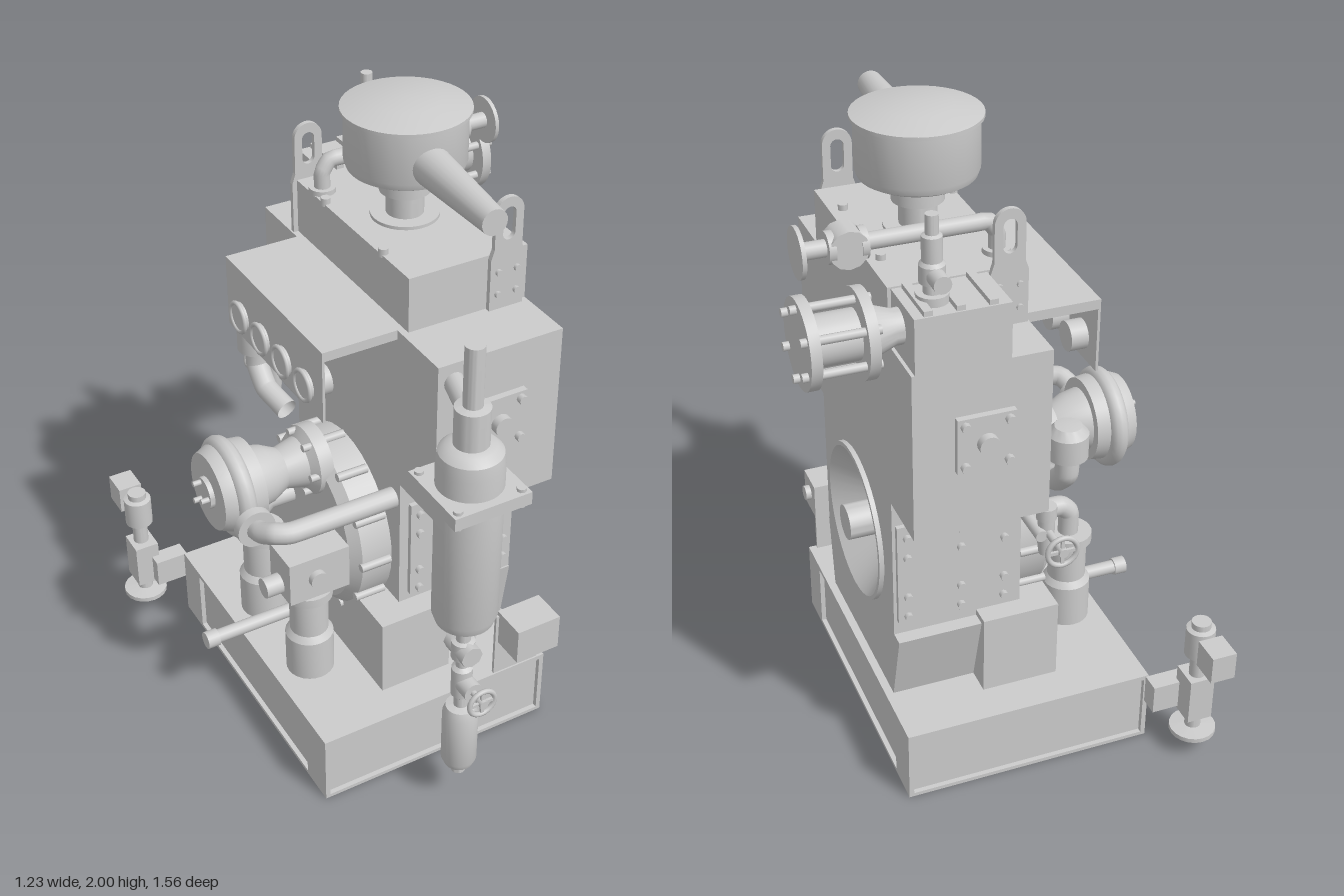
import * as THREE from 'three';
import { toCreasedNormals } from 'three/addons/utils/BufferGeometryUtils.js';

const mat = new THREE.MeshStandardMaterial({ color: 0xcccccc });
const thin = new THREE.MeshStandardMaterial({ color: 0xcccccc, side: THREE.DoubleSide });
const V = (x, y, z) => new THREE.Vector3(x, y, z);

export function createModel() {
  const root = new THREE.Group();
  root.name = 'stationaryEngine';

  const add = (name, geo, x = 0, y = 0, z = 0, m = mat) => {
    const mesh = new THREE.Mesh(geo, m);
    mesh.name = name;
    mesh.position.set(x, y, z);
    root.add(mesh);
    return mesh;
  };
  // Box from its limits
  const box = (name, x0, x1, y0, y1, z0, z1) =>
    add(name, new THREE.BoxGeometry(x1 - x0, y1 - y0, z1 - z0), (x0 + x1) / 2, (y0 + y1) / 2, (z0 + z1) / 2);
  const orient = (geo, axis) => {
    if (axis === 'x') geo.rotateZ(-Math.PI / 2);
    if (axis === '-x') geo.rotateZ(Math.PI / 2);
    if (axis === 'z') geo.rotateX(Math.PI / 2);
    return geo;
  };
  // Cylinder centred on a point, along an axis
  const cyl = (name, axis, x, y, z, r, len, r2 = r, n = 24) =>
    add(name, orient(new THREE.CylinderGeometry(r2, r, len, n), axis), x, y, z);
  // Turned part from [radius, distance along axis] points
  const turned = (name, axis, x, y, z, pts, n = 36) =>
    add(name, orient(toCreasedNormals(new THREE.LatheGeometry(pts.map(p => new THREE.Vector2(...p)), n), 0.6), axis), x, y, z);
  const pipe = (name, pts, r) =>
    add(name, new THREE.TubeGeometry(new THREE.CatmullRomCurve3(pts, false, 'catmullrom', 0.2), 40, r, 16), 0, 0, 0, thin);
  const ring = (name, axis, x, y, z, count, R, r, len, a0 = 0) => {
    for (let i = 0; i < count; i++) {
      const a = a0 + i / count * Math.PI * 2, c = Math.cos(a) * R, s = Math.sin(a) * R;
      if (axis === 'x') cyl(name, 'x', x, y + s, z + c, r, len, r, 8);
      else if (axis === 'z') cyl(name, 'z', x + c, y + s, z, r, len, r, 8);
      else cyl(name, 'y', x + c, y, z + s, r, len, r, 8);
    }
  };
  const handwheel = (x, y, z, r) => {
    add('handwheelRim', new THREE.TorusGeometry(r, 0.008, 8, 24), x, y, z);
    box('handwheelSpoke', x - r, x + r, y - 0.005, y + 0.005, z - 0.004, z + 0.004);
    box('handwheelSpoke', x - 0.005, x + 0.005, y - r, y + r, z - 0.004, z + 0.004);
    cyl('handwheelHub', 'z', x, y, z, 0.014, 0.025);
  };

  // Base frame with recessed sides
  box('baseCore', -0.415, 0.34, 0.008, 0.228, -0.525, 0.455);
  box('baseTop', -0.43, 0.355, 0.223, 0.238, -0.54, 0.47);
  box('baseBottom', -0.43, 0.355, 0, 0.012, -0.54, 0.47);
  for (const x of [-0.43, 0.34]) {
    box('basePost', x, x + 0.015, 0.012, 0.223, 0.35, 0.47);
    box('basePost', x, x + 0.015, 0.012, 0.223, -0.54, -0.42);
  }

  // Crankcase with a round recess for the flywheel
  const outline = () => new THREE.Shape([[-0.25, 0.235], [0.335, 0.235], [0.42, 0.48], [0.355, 0.48], [0.355, 0.96],
    [-0.285, 0.96], [-0.285, 0.48], [-0.29, 0.48]].map(([s, y]) => new THREE.Vector2(s === 0.42 ? 0.4 : s, y)));
  const slab = (name, x0, x1, shape) =>
    add(name, new THREE.ExtrudeGeometry(shape, { depth: x1 - x0, bevelEnabled: false, curveSegments: 32 }).rotateY(Math.PI / 2), x0, 0, 0);
  slab('crankcase', -0.07, 0.2, outline());
  const holed = outline();
  holed.holes.push(new THREE.Path().absarc(0.03, 0.68, 0.24, 0, Math.PI * 2, true));
  slab('flywheelHousing', 0.2, 0.33, holed);
  turned('flywheel', 'x', 0, 0.68, -0.03, [[0.248, 0.325], [0.248, 0.345], [0.235, 0.345], [0.13, 0.24], [0.055, 0.24],
    [0.055, 0.37], [0, 0.37]], 40);
  box('pedestal', -0.17, 0.07, 0.238, 0.5, -0.42, 0.36);

  // Crankcase doors with bolts
  for (const [z0, z1, zb] of [[0.285, 0.3, 0.305], [-0.37, -0.355, -0.375]]) {
    box('crankcaseDoor', -0.04, 0.32, 0.53, 0.87, z0, z1);
    for (const x of [-0.01, 0.125, 0.29])
      for (const y of [0.55, 0.62, 0.76, 0.83]) cyl('doorBolt', 'z', x, y, zb, 0.013, 0.022, 0.013, 8);
  }

  // Cylinder block and top tiers
  box('cylinderBlock', -0.07, 0.33, 0.95, 1.47, -0.545, 0.475);
  box('cylinderHead', -0.05, 0.33, 1.47, 1.64, -0.365, 0.285);
  box('exhaustBlock', 0.05, 0.32, 1.47, 1.635, -0.545, -0.365);
  for (const x of [0.1, 0.19, 0.28]) box('exhaustBlockRib', x - 0.012, x + 0.012, 1.63, 1.65, -0.54, -0.37);
  ring('headBolt', 'y', 0.125, 1.645, -0.035, 4, 0.235, 0.015, 0.025, Math.PI / 4);
  // Front and back inspection covers
  for (const s of [1, -1]) {
    const z = s > 0 ? 0.475 : -0.545;
    box('inspectionCover', 0.04, 0.21, 1.15, 1.32, z - 0.02, z + 0.02);
    cyl('coverBoss', 'z', 0.125, 1.235, z + s * 0.03, 0.03, 0.03);
    ring('coverBolt', 'z', 0.125, 1.235, z + s * 0.025, 4, 0.09, 0.014, 0.025, Math.PI / 4);
  }

  // Lifting lugs
  for (const [x, z] of [[0.255, 0.295], [-0.01, -0.37]]) {
    const s = new THREE.Shape();
    s.moveTo(-0.055, 1.47).lineTo(0.055, 1.47).lineTo(0.055, 1.63).lineTo(0.045, 1.66).lineTo(0.045, 1.77);
    s.absarc(0, 1.77, 0.045, 0, Math.PI, false);
    s.lineTo(-0.045, 1.66).lineTo(-0.055, 1.63);
    const h = new THREE.Path();
    h.absarc(0, 1.765, 0.02, 0, Math.PI, false);
    h.absarc(0, 1.705, 0.02, Math.PI, Math.PI * 2, false);
    s.holes.push(h);
    add('liftingLug', new THREE.ExtrudeGeometry(s, { depth: 0.015, bevelEnabled: false }), x, 0, z - 0.008);
    for (const y of [1.52, 1.59]) for (const d of [-0.03, 0.03]) cyl('lugBolt', 'z', x + d, y, z, 0.01, 0.035, 0.01, 8);
  }

  // Air cleaner and tapered intake
  turned('airCleaner', 'y', 0.125, 0, -0.035, [[0.1, 1.635], [0.1, 1.65], [0.055, 1.65], [0.055, 1.72], [0.075, 1.72],
    [0.075, 1.79], [0.15, 1.79], [0.168, 1.8], [0.175, 1.82], [0.175, 1.965], [0.185, 1.965], [0.185, 1.975], [0.1, 1.995], [0, 2]], 40);
  const intake = cyl('airIntake', 'z', 0.1, 1.865, 0.295, 0.058, 0.36, 0.038);
  intake.rotation.y = -0.06;

  // Exhaust outlet with bolted flanges
  turned('exhaustOutlet', 'x', 0, 1.56, -0.43, [[0.05, 0.3], [0.05, 0.34], [0.075, 0.41], [0.125, 0.41], [0.125, 0.44],
    [0.07, 0.44], [0.07, 0.565], [0.125, 0.565], [0.125, 0.595], [0, 0.595]]);
  ring('exhaustBolt', 'x', 0.505, 1.56, -0.43, 6, 0.1, 0.013, 0.215, Math.PI / 6);

  // Water outlet pipe with valve and end flange
  pipe('waterPipe', [V(-0.015, 1.63, -0.27), V(-0.015, 1.7, -0.27), V(0.01, 1.735, -0.27), V(0.05, 1.735, -0.27), V(0.54, 1.735, -0.27)], 0.024);
  cyl('waterPipeFlange', 'x', 0.54, 1.735, -0.27, 0.072, 0.012);
  cyl('waterValve', 'z', 0.41, 1.735, -0.27, 0.055, 0.08, 0.055, 12);
  for (const x of [0.365, 0.455]) cyl('waterValveCollar', 'x', x, 1.735, -0.27, 0.045, 0.02);
  cyl('pipeSeat', 'y', -0.015, 1.645, -0.27, 0.04, 0.02);

  // Safety valve
  turned('safetyValve', 'y', 0.24, 0, -0.46, [[0.045, 1.63], [0.045, 1.66], [0.025, 1.66], [0.025, 1.69], [0.036, 1.69],
    [0.036, 1.74], [0.028, 1.75], [0.028, 1.82], [0.018, 1.825], [0.018, 1.88], [0, 1.88]], 16);
  cyl('safetyValveOutlet', 'z', 0.24, 1.715, -0.505, 0.025, 0.07);

  // Instrument panel and gauges
  box('panelTop', -0.305, -0.07, 1.44, 1.47, -0.335, 0.26);
  box('panelFace', -0.305, -0.297, 1.24, 1.47, -0.335, 0.26);
  for (let i = 0; i < 4; i++) {
    const z = -0.24 + i * 0.135;
    cyl('gauge', 'x', -0.282, 1.315, z, 0.045, 0.075);
    add('gaugeBezel', new THREE.TorusGeometry(0.045, 0.007, 8, 24).rotateY(Math.PI / 2), -0.318, 1.315, z);
  }

  // Front vertical receiver
  const rx = -0.075, rz = 0.655;
  turned('receiver', 'y', rx, 0, rz, [[0, 0.715], [0.06, 0.72], [0.085, 0.735], [0.095, 0.765], [0.095, 1.28], [0.09, 1.32],
    [0.07, 1.34], [0.05, 1.345], [0.05, 1.46], [0.028, 1.465], [0.028, 1.65], [0, 1.65]]);
  box('receiverPlate', rx - 0.12, rx + 0.12, 1.175, 1.215, rz - 0.12, rz + 0.12);
  ring('receiverBolt', 'y', rx, 1.195, rz, 4, 0.14, 0.014, 0.06, Math.PI / 4);
  pipe('receiverInlet', [V(rx, 1.41, rz), V(-0.05, 1.41, 0.58), V(-0.015, 1.41, 0.46)], 0.03);
  turned('drainStem', 'y', rx, 0, rz, [[0.022, 0.38], [0.022, 0.43], [0.032, 0.44], [0.032, 0.54], [0.02, 0.55], [0.02, 0.58],
    [0.035, 0.585], [0.035, 0.645], [0.022, 0.65], [0.022, 0.72]], 16);
  cyl('drainValveCap', 'z', rx, 0.49, rz + 0.04, 0.03, 0.05);
  cyl('drainValveSpindle', 'z', rx, 0.49, rz + 0.08, 0.01, 0.08);
  handwheel(rx, 0.49, 0.765, 0.042);
  cyl('drainNut', 'z', rx, 0.615, rz, 0.035, 0.1, 0.035, 8);
  turned('drainPot', 'y', rx, 0, rz, [[0, 0.12], [0.022, 0.12], [0.022, 0.155], [0.045, 0.158], [0.054, 0.18], [0.054, 0.36],
    [0.045, 0.39], [0.022, 0.395]], 24);

  // Switch box on its bracket
  box('switchBracket', 0.17, 0.33, 0.238, 0.47, 0.455, 0.465);
  box('switchBox', 0.18, 0.33, 0.365, 0.485, 0.455, 0.57);
  cyl('switchKnob', 'x', 0.338, 0.43, 0.515, 0.025, 0.02);
  cyl('sensor', 'y', 0.11, 0.43, 0.4, 0.025, 0.13);

  // Timing housing on the right side
  turned('timingHousing', '-x', 0, 0.65, -0.04, [[0.28, 0.06], [0.28, 0.17], [0.25, 0.2], [0, 0.2]]);
  ring('timingBolt', 'x', -0.13, 0.65, -0.04, 12, 0.285, 0.014, 0.1);

  // Circulating pump with volute
  turned('circulatingPump', '-x', 0, 0.885, -0.04, [[0.11, 0.17], [0.11, 0.215], [0.08, 0.235], [0.065, 0.3], [0.09, 0.35],
    [0.1, 0.4], [0.13, 0.4], [0.135, 0.44], [0.135, 0.5], [0.12, 0.535], [0.05, 0.535], [0.05, 0.55], [0, 0.55]]);
  add('pumpVolute', new THREE.TorusGeometry(0.13, 0.03, 12, 36).rotateY(Math.PI / 2), -0.47, 0.88, -0.04);
  ring('pumpBolt', 'x', -0.55, 0.885, -0.04, 3, 0.035, 0.009, 0.05);
  ring('pumpFlangeBolt', 'x', -0.22, 0.885, -0.04, 6, 0.095, 0.012, 0.05);
  cyl('pumpOutletFlange', 'z', -0.47, 0.85, 0.135, 0.06, 0.03);
  pipe('pumpDischarge', [V(-0.47, 0.83, 0.08), V(-0.47, 0.86, 0.18), V(-0.45, 0.88, 0.225), V(-0.4, 0.88, 0.245), V(-0.07, 0.88, 0.245)], 0.032);

  // Fuel pump and strainers
  box('fuelPumpHead', -0.4, -0.2, 0.57, 0.72, 0.08, 0.21);
  cyl('fuelPumpFace', 'z', -0.31, 0.645, 0.215, 0.028, 0.03);
  cyl('fuelPumpInlet', 'x', -0.42, 0.61, 0.14, 0.032, 0.07);
  for (const z of [0.15, -0.17]) {
    turned('strainer', 'y', -0.31, 0, z, [[0, 0.25], [0.075, 0.25], [0.075, 0.39], [0.06, 0.41], [0.06, 0.53], [0.075, 0.54],
      [0.075, 0.57], [0, 0.57]], 24);
  }
  pipe('strainerElbow', [V(-0.31, 0.55, -0.17), V(-0.31, 0.64, -0.17), V(-0.28, 0.67, -0.17), V(-0.18, 0.67, -0.17)], 0.032);
  pipe('oilPipe', [V(-0.56, 0.29, -0.06), V(-0.3, 0.29, -0.06), V(-0.1, 0.29, -0.06)], 0.022);
  cyl('oilPipeEnd', 'x', -0.55, 0.29, -0.06, 0.028, 0.04);

  // Breather
  pipe('breatherPipe', [V(-0.15, 0.9, -0.28), V(-0.17, 0.93, -0.38), V(-0.17, 0.99, -0.44), V(-0.17, 1.08, -0.44)], 0.035);
  turned('breatherCap', 'y', -0.17, 0, -0.44, [[0, 1.05], [0.06, 1.05], [0.06, 1.125], [0.04, 1.15], [0, 1.155]], 24);

  // Rear drain valve
  cyl('rearValveNipple', 'z', -0.05, 0.87, -0.45, 0.018, 0.2);
  turned('rearValve', 'y', -0.075, 0, -0.52, [[0, 0.79], [0.02, 0.79], [0.025, 0.83], [0.025, 0.91], [0.03, 0.91], [0.03, 0.95], [0, 0.95]], 12);
  cyl('rearValveSpindle', 'z', -0.075, 0.87, -0.58, 0.012, 0.12);
  handwheel(-0.075, 0.87, -0.635, 0.045);

  // Level control at the rear corner
  box('levelArm', -0.53, -0.42, 0.14, 0.235, -0.6, -0.54);
  box('levelBody', -0.585, -0.505, 0.13, 0.285, -0.67, -0.58);
  turned('levelStem', 'y', -0.545, 0, -0.63, [[0, 0.065], [0.072, 0.065], [0.072, 0.08], [0.025, 0.085], [0.025, 0.13], [0.025, 0.29],
    [0.025, 0.355], [0.045, 0.365], [0.045, 0.46], [0.03, 0.465], [0.03, 0.485], [0, 0.485]], 20);
  box('levelSwitch', -0.583, -0.505, 0.375, 0.465, -0.78, -0.69);
  cyl('levelSwitchNeck', 'z', -0.545, 0.42, -0.68, 0.02, 0.04);
  return root;
}
